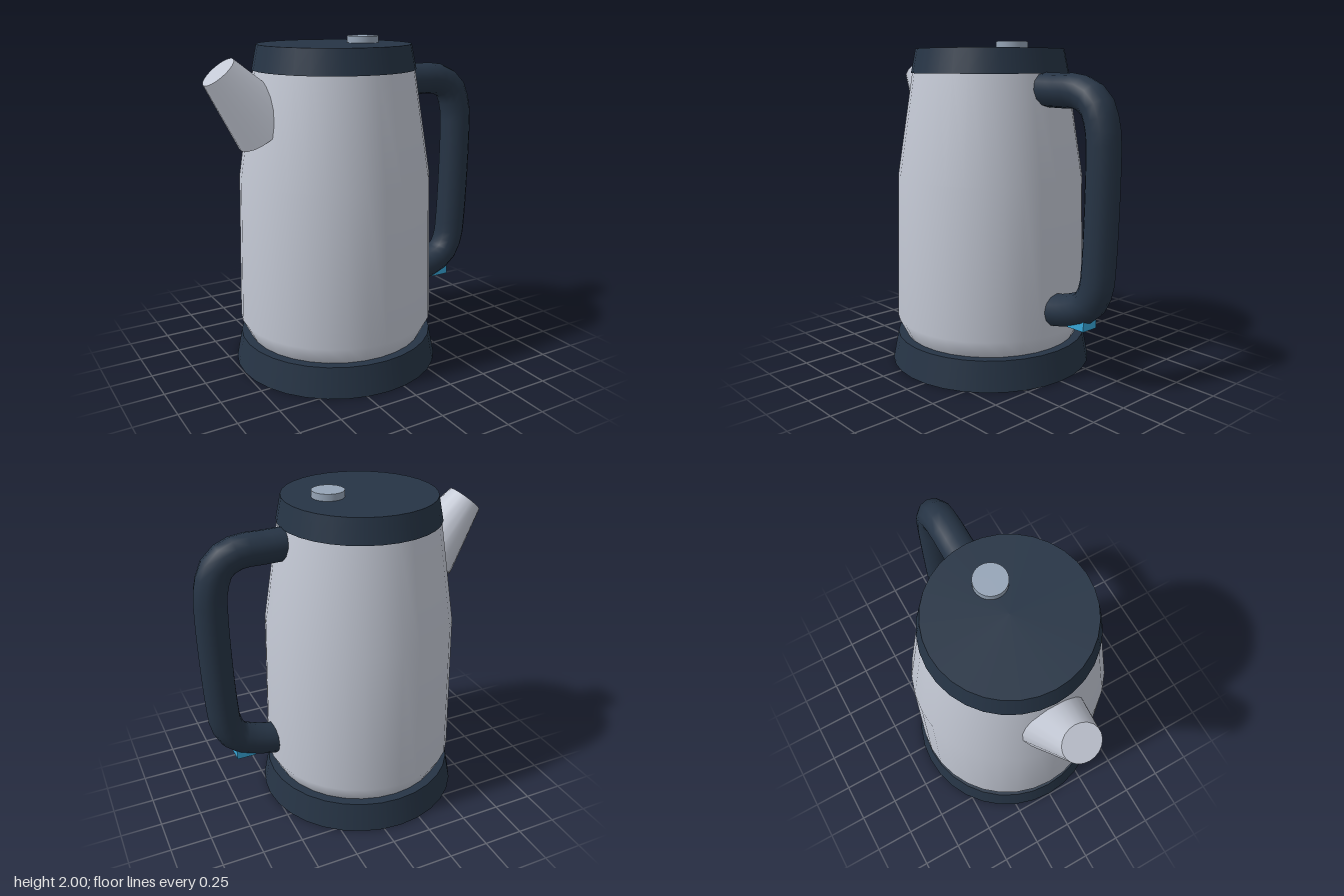
import * as THREE from 'three';

const mat = (name, color) => {
  const m = new THREE.MeshStandardMaterial({ color });
  m.name = name;
  return m;
};

export function createModel() {
  const steel = mat('brushed steel', 0xc4c9d5);
  const dark = mat('dark navy plastic', 0x263445);
  const grey = mat('button grey', 0x96a5b7);
  const blue = mat('switch blue', 0x38a7d9);

  const group = new THREE.Group();
  group.name = 'kettle';
  const AXIS = -0.11; // x of the pot's centre line

  const add = (name, geometry, material, x = 0, y = 0, z = 0) => {
    const mesh = new THREE.Mesh(geometry, material);
    mesh.name = name;
    mesh.position.set(x, y, z);
    group.add(mesh);
    return mesh;
  };
  // Upright tapered drum standing between two heights
  const drum = (name, rTop, rBottom, y0, y1, material, x = AXIS, sides = 32) =>
    add(name, new THREE.CylinderGeometry(rTop, rBottom, y1 - y0, sides), material, x, (y0 + y1) / 2);

  // Base, lid and lid button
  drum('base', 0.6, 0.635, 0, 0.18, dark);
  drum('lid', 0.455, 0.485, 1.815, 1.96, dark);
  drum('lidButton', 0.095, 0.095, 1.95, 2, grey, 0.087);

  // Body: tapered profile turned about the centre line
  const profile = [[0.54, 0.17], [0.545, 0.18], [0.6, 0.29], [0.577, 1.19], [0.475, 1.83]]
    .map(([r, y]) => new THREE.Vector2(r, y));
  add('body', new THREE.LatheGeometry(profile, 32), steel, AXIS);

  // Spout: cone leaning out of the upper body
  const from = new THREE.Vector3(-0.56, 1.507, 0);
  const to = new THREE.Vector3(-0.832, 1.828, 0);
  const dir = to.clone().sub(from);
  const spout = add('spout', new THREE.CylinderGeometry(0.11, 0.2, dir.length(), 20), steel);
  spout.position.copy(from).add(to).multiplyScalar(0.5);
  spout.quaternion.setFromUnitVectors(new THREE.Vector3(0, 1, 0), dir.normalize());

  // Handle: round tube bent through a few points
  const path = new THREE.CatmullRomCurve3([
    [0.3, 1.727], [0.46, 1.722], [0.645, 1.715], [0.75, 1.655], [0.8, 1.53], [0.811, 1.38],
    [0.797, 0.77], [0.78, 0.625], [0.725, 0.525], [0.6, 0.465], [0.42, 0.425],
  ].map(([x, y]) => new THREE.Vector3(x, y, 0)));
  add('handle', new THREE.TubeGeometry(path, 28, 0.098, 12), dark);

  // Small switch under the lower bend of the handle
  add('switch', new THREE.BoxGeometry(0.12, 0.06, 0.11), blue, 0.682, 0.411);

  return group;
}
